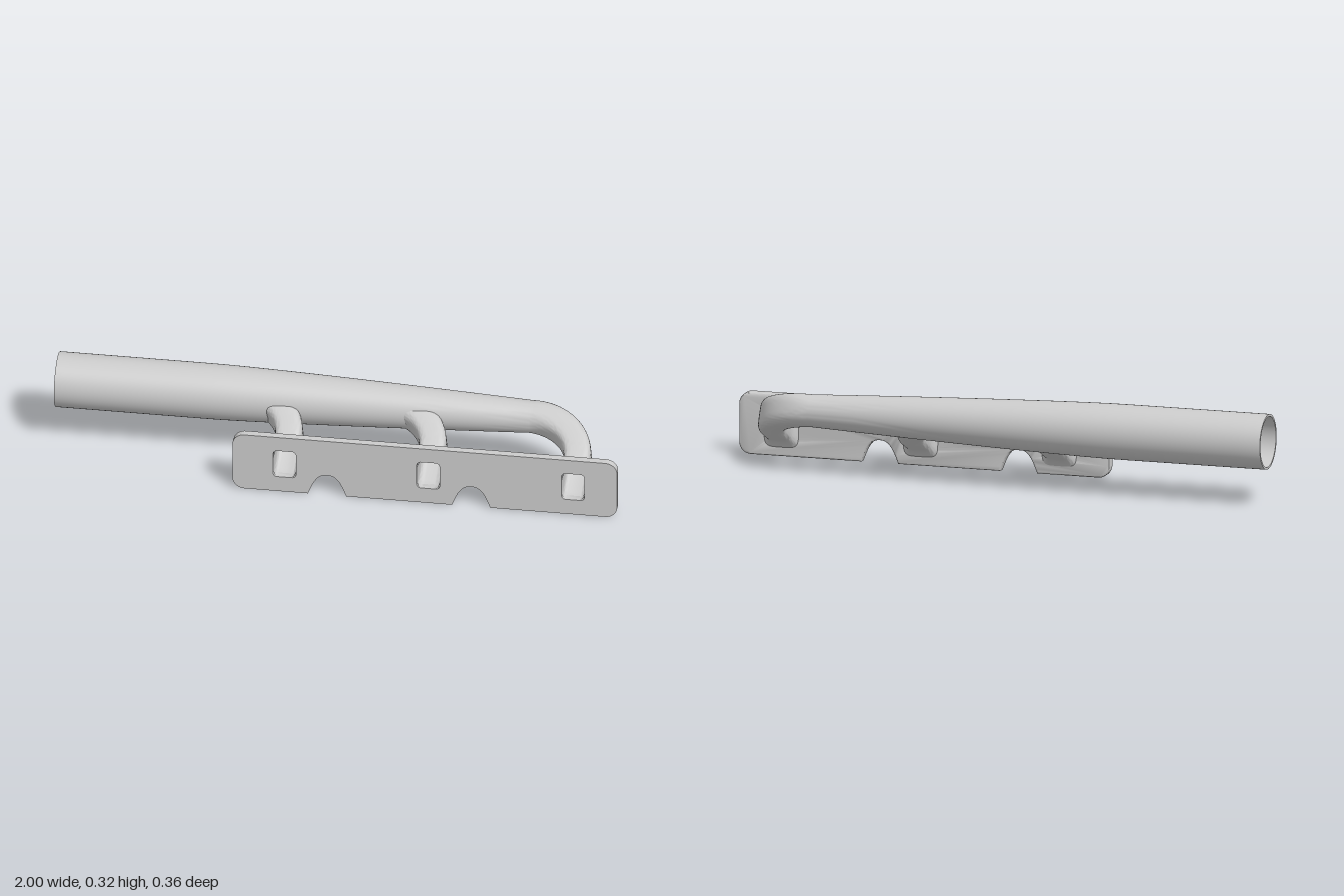
import * as THREE from 'three';
import { toCreasedNormals } from 'three/addons/utils/BufferGeometryUtils.js';

const SIDES = 48, WALL = 0.008;
const AXIS_Y = 0.222, AXIS_Z = -0.081, SLOPE = 0.51;
const BACK = 0.145, FRONT = 0.178, BEND_Z = 0.07;
const PORTS = [-0.167, 0.338, 0.845];
const X = new THREE.Vector3(1, 0, 0), Y = new THREE.Vector3(0, 1, 0);
const D = new THREE.Vector3(0, SLOPE, -1).normalize(); // from port up to the pipe axis
const N = new THREE.Vector3(0, 1, SLOPE).normalize();
const lerp = THREE.MathUtils.lerp;

// One cross-section: centre, axes, half sizes and squareness exponent
const section = (c, u, v, hu, hv, n) => ({ c, u, v, hu, hv, n });
const centreY = z => AXIS_Y - SLOPE * (z - AXIS_Z);

// Port neck and bend, up to angle endAngle (quarter turn = along the pipe)
function runnerSections(px, endAngle, inner) {
  const list = [], w = inner ? WALL : 0;
  if (inner) list.push(section(new THREE.Vector3(px, 0.112, FRONT), X, Y, 0.039, 0.052, 5));
  for (let i = 0; i <= 8; i++) {
    const t = (i / 8) ** 1.5, z = lerp(BACK, BEND_Z, t);
    const flare = inner ? 0 : 0.016 * Math.max(0, 1 - (BACK - z) / 0.028) ** 2;
    list.push(section(new THREE.Vector3(px, centreY(z), z), X,
      Y.clone().lerp(N, t).normalize(),
      0.047 + flare - w, 0.058 + flare - w, 5));
  }
  for (let i = 1; i <= 18; i++) {
    const a = endAngle * i / 18, f = a / (Math.PI / 2);
    const z = lerp(BEND_Z, AXIS_Z, Math.sin(a));
    const u = X.clone().multiplyScalar(Math.cos(a)).addScaledVector(D, Math.sin(a));
    list.push(section(new THREE.Vector3(px - 0.185 * (1 - Math.cos(a)), centreY(z), z), u, N,
      lerp(0.047, 0.057, f) - w, lerp(0.058, 0.057, f) - w, lerp(5, 2, f)));
  }
  return list;
}

// Tapering straight pipe to the open end
function pipeSections(startX, inner) {
  const list = [], w = inner ? WALL : 0;
  for (let i = 1; i <= 20; i++) {
    const x = lerp(startX, -1, i / 20);
    const t = THREE.MathUtils.clamp((x + 0.45) / (startX + 0.45), 0, 1);
    const r = 0.097 - 0.04 * t ** 1.3 - w;
    list.push(section(new THREE.Vector3(x, AXIS_Y, AXIS_Z), D, N, r, r, 2));
  }
  return list;
}

// Skin through a list of sections
function loft(sections) {
  const pos = [], index = [];
  const power = (v, n) => Math.sign(v) * Math.abs(v) ** (2 / n);
  for (const s of sections) {
    for (let j = 0; j < SIDES; j++) {
      const a = j / SIDES * Math.PI * 2;
      const p = s.c.clone()
        .addScaledVector(s.u, s.hu * power(Math.cos(a), s.n))
        .addScaledVector(s.v, s.hv * power(Math.sin(a), s.n));
      pos.push(p.x, p.y, p.z);
    }
  }
  for (let i = 0; i < sections.length - 1; i++) {
    for (let j = 0; j < SIDES; j++) {
      const k = (j + 1) % SIDES;
      const a = i * SIDES + j, b = i * SIDES + k, c = a + SIDES, d = b + SIDES;
      index.push(a, c, b, b, c, d);
    }
  }
  const g = new THREE.BufferGeometry();
  g.setAttribute('position', new THREE.Float32BufferAttribute(pos, 3));
  g.setIndex(index);
  return toCreasedNormals(g, 0.7);
}

// Plate outline with two bolt notches and three port holes
function flangeShape() {
  const s = new THREE.Shape(), l = -0.35, r = 1, h = 0.22, k = 0.042;
  s.moveTo(l + k, 0);
  for (const c of [-0.018, 0.488]) {
    s.lineTo(c - 0.067, 0);
    s.bezierCurveTo(c - 0.048, 0.05, c - 0.035, 0.08, c, 0.08);
    s.bezierCurveTo(c + 0.035, 0.08, c + 0.048, 0.05, c + 0.067, 0);
  }
  s.lineTo(r - k, 0);
  s.absarc(r - k, k, k, -Math.PI / 2, 0);
  s.absarc(r - k, h - k, k, 0, Math.PI / 2);
  s.absarc(l + k, h - k, k, Math.PI / 2, Math.PI);
  s.absarc(l + k, k, k, Math.PI, Math.PI * 1.5);
  for (const px of PORTS) {
    const hole = new THREE.Path(), q = 0.014, w = 0.04 - q, v = 0.053 - q, cy = 0.112;
    hole.absarc(px + w, cy + v, q, 0, Math.PI / 2);
    hole.absarc(px - w, cy + v, q, Math.PI / 2, Math.PI);
    hole.absarc(px - w, cy - v, q, Math.PI, Math.PI * 1.5);
    hole.absarc(px + w, cy - v, q, Math.PI * 1.5, Math.PI * 2);
    hole.closePath();
    s.holes.push(hole);
  }
  return s;
}

export function createModel() {
  const group = new THREE.Group();
  const material = new THREE.MeshStandardMaterial({ color: 0xcccccc });
  const add = (name, geometry) => {
    const mesh = new THREE.Mesh(geometry, material);
    mesh.name = name;
    group.add(mesh);
    return mesh;
  };

  // Flange: square front edge, rounded back edge
  const shape = flangeShape(), round = 0.008;
  const front = new THREE.ExtrudeGeometry(shape,
    { depth: FRONT - BACK - round, bevelEnabled: false, curveSegments: 10 });
  add('flangeFace', toCreasedNormals(front, 0.6)).position.z = BACK + round;
  const back = new THREE.ExtrudeGeometry(shape, {
    depth: 0.01, bevelThickness: round, bevelSize: round, bevelOffset: -round,
    bevelSegments: 4, curveSegments: 10
  });
  add('flangeRoundedBack', toCreasedNormals(back, 0.6)).position.z = BACK + round;

  // Main pipe: outer skin from the last port to the open end, inner skin back again
  const last = PORTS[2], startX = last - 0.185;
  const whole = inner => [...runnerSections(last, Math.PI / 2, inner), ...pipeSections(startX, inner)];
  add('mainPipe', loft([...whole(false), ...whole(true).reverse()]));

  // Two branch runners that merge into the pipe
  PORTS.slice(0, 2).forEach((px, i) => {
    const end = Math.PI * 75 / 180;
    add('branchRunner' + (i + 1),
      loft([...runnerSections(px, end, false), ...runnerSections(px, end, true).reverse()]));
  });
  return group;
}
